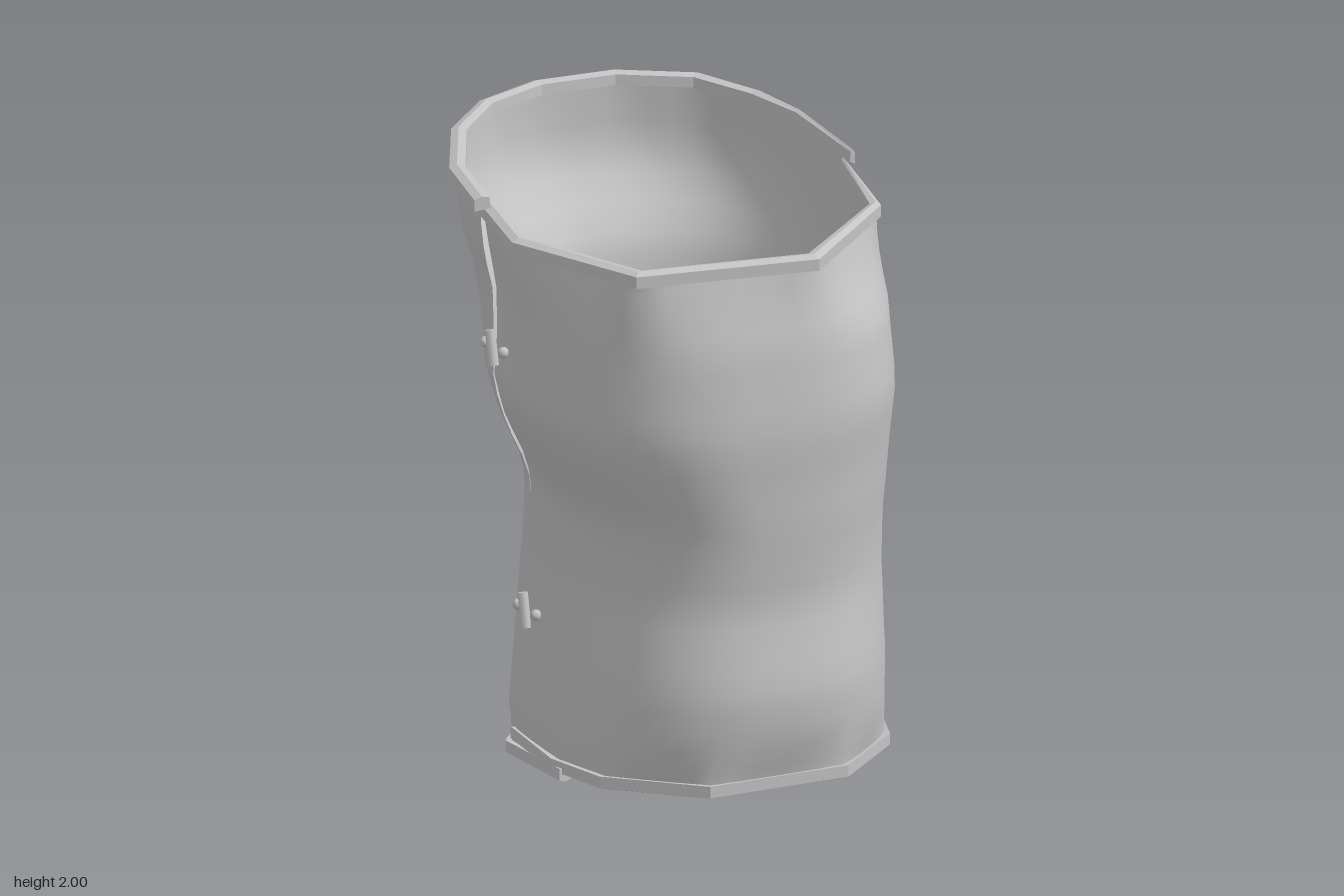
import * as THREE from 'three';

const { lerp, clamp } = THREE.MathUtils;
const ZC = 0.08; // z of the side seams

// Skin outline by height: y, xMin, xMax, zMin, zMax
const OUTLINE = [
  [0.0, -0.48, 0.605, -0.53, 0.83],
  [0.25, -0.48, 0.61, -0.56, 0.82],
  [0.55, -0.45, 0.61, -0.585, 0.86],
  [0.83, -0.43, 0.61, -0.59, 0.81],
  [1.0, -0.43, 0.61, -0.55, 0.825],
  [1.1, -0.44, 0.61, -0.575, 0.835],
  [1.25, -0.51, 0.61, -0.61, 0.845],
  [1.4, -0.555, 0.61, -0.625, 0.86],
  [1.5, -0.55, 0.61, -0.64, 0.855],
  [1.7, -0.55, 0.61, -0.82, 0.84],
  [2.0, -0.59, 0.61, -0.835, 0.83],
];

// Roundness of each quarter (1 = ellipse, less = boxier):
// y, front left, front right, back right, back left
const ROUNDNESS = [
  [0.1, 0.75, 0.8, 1.2, 0.85],
  [0.3, 0.78, 0.8, 1.2, 0.95],
  [0.6, 0.83, 0.82, 1.2, 0.98],
  [1.0, 0.83, 0.88, 1.25, 1.05],
  [1.45, 0.62, 0.8, 1.2, 0.85],
  [1.7, 0.72, 0.8, 1.05, 0.78],
  [1.95, 0.9, 0.82, 0.93, 0.7],
];

// Piecewise linear lookup in rows whose first entry is the key
function lookup(rows, key, col) {
  let i = 0;
  while (i < rows.length - 2 && rows[i + 1][0] < key) i++;
  const a = rows[i], b = rows[i + 1];
  return lerp(a[col], b[col], clamp((key - a[0]) / (b[0] - a[0]), 0, 1));
}

// Point of the limb-shaped skin at an angle (0 = +x, PI/2 = front) and height
function skin(phi, y, offset = 0) {
  const [x0, x1, z0, z1] = [1, 2, 3, 4].map((c) => lookup(OUTLINE, y, c));
  const c = Math.cos(phi), s = Math.sin(phi);
  const a = (x1 - x0) / 2 + offset;
  const b = (s > 0 ? z1 - ZC : ZC - z0) + offset;
  const quarter = s > 0 ? (c > 0 ? 1 : 2) : (c > 0 ? 4 : 3);
  const power = lookup(ROUNDNESS, y, quarter);
  const soft = (k) => Math.sign(k) * Math.abs(k) ** power;
  return new THREE.Vector3((x0 + x1) / 2 + a * soft(c), y, ZC + b * soft(s));
}

// The two overlapping plates: rim corner angles and rim height as a function of z
const PLATES = {
  front: {
    top: { phis: [-0.02, 0.45, 1.27, 2.13, 2.91, 3.3], y: 1.95, rise: [[-0.1, 1.945], [0.83, 1.98]] },
    bottom: { phis: [0.25, 0.6, 1.2, 1.85, 2.5, 2.85, 3.25], y: 0.22, rise: [[-0.1, 0.185], [0.36, 0.205], [0.83, 0.235]] },
    // tucks under the back plate, deepest at the top
    offset: (phi, y) => clamp((phi - 3.0) / 0.2, 0, 1) * lerp(-0.008, -0.045, clamp((y - 1.3) / 0.5, 0, 1)),
  },
  back: {
    top: { phis: [3.18, 3.5, 3.92, 4.25, 4.6, 4.88, 5.31, 5.68, 5.98, 6.29], y: 1.95, rise: [[-0.85, 1.985], [-0.55, 1.975], [0.08, 2.0]] },
    bottom: { phis: [2.78, 3.3, 3.88, 4.77, 5.4, 5.8, 6.2, 6.56], y: 0.1, rise: [[-0.55, 0.004], [-0.35, 0.025], [0, 0.135], [0.36, 0.19]] },
    offset: () => 0.004,
  },
};

function rimCorner(plate, edge, phi) {
  const p = skin(phi, edge.y, plate.offset(phi, edge.y));
  p.y = lookup(edge.rise, p.z, 1);
  return p;
}

// Point on the straight-sided rim line between its corners
function rimPoint(plate, edge, phi) {
  const f = edge.phis;
  let i = 0;
  while (i < f.length - 2 && f[i + 1] < phi) i++;
  const t = clamp((phi - f[i]) / (f[i + 1] - f[i]), 0, 1);
  return rimCorner(plate, edge, f[i]).lerp(rimCorner(plate, edge, f[i + 1]), t);
}

// Indexed surface through rows x columns of points
function grid(point, nu, nv) {
  const pos = [], index = [];
  for (let i = 0; i <= nu; i++)
    for (let j = 0; j <= nv; j++) pos.push(...point(i, j).toArray());
  for (let i = 0; i < nu; i++)
    for (let j = 0; j < nv; j++) {
      const a = i * (nv + 1) + j, b = a + nv + 1;
      index.push(a, a + 1, b, a + 1, b + 1, b);
    }
  const g = new THREE.BufferGeometry();
  g.setAttribute('position', new THREE.Float32BufferAttribute(pos, 3));
  g.setIndex(index);
  g.computeVertexNormals();
  return g;
}

// Curved wall running between the lower and upper rims
function wallGeometry(plate) {
  const nu = 28, nv = 26, { top, bottom } = plate;
  return grid((i, j) => {
    const v = j / nv, t = Math.max(0, 1 - v / 0.35);
    const start = lerp(top.phis[0], bottom.phis[0], t);
    const end = lerp(top.phis.at(-1), bottom.phis.at(-1), t);
    const phi = lerp(start, end, i / nu);
    const hi = rimPoint(plate, top, phi), lo = rimPoint(plate, bottom, phi);
    const y = lerp(lo.y + 0.02, hi.y - 0.02, v);
    const p = skin(phi, y, plate.offset(phi, y));
    const w = Math.max(0, (v - 0.85) / 0.15, (0.08 - v) / 0.08);
    const target = v > 0.5 ? hi : lo;
    p.x = lerp(p.x, target.x, w);
    p.z = lerp(p.z, target.z, w);
    return p;
  }, nu, nv);
}

// Chamfered lip swept along a rim, thinner on the +x side, closed at both ends
function rimGeometry(plate, edge, sign) {
  const section = [[-0.032, -0.04], [-0.03, -0.006], [-0.004, 0], [0.02, -0.01], [0.02, -0.048]];
  const n = edge.phis.length;
  return grid((i, j) => {
    const phi = edge.phis[clamp(i - 1, 0, n - 1)];
    const p = rimCorner(plate, edge, phi);
    const out = new THREE.Vector3(Math.cos(phi), 0, Math.sin(phi) * 0.85).normalize();
    const thin = 1 - 0.7 * Math.max(0, Math.cos(phi)) ** 8;
    const cap = i === 0 || i === n + 1;
    const [o, dy] = cap ? [0, -0.025] : section[j % section.length];
    p.addScaledVector(out, o * thin);
    p.y += dy * sign;
    return p;
  }, n + 1, section.length);
}

export function createModel() {
  const model = new THREE.Group();
  model.name = 'limbGuard';
  const grey = new THREE.MeshStandardMaterial({ color: 0xc4c4c4, side: THREE.DoubleSide });
  grey.name = 'plate grey';

  const add = (parent, name, geometry) => {
    const mesh = new THREE.Mesh(geometry, grey);
    mesh.name = name;
    parent.add(mesh);
    return mesh;
  };
  // Sharp edges for the lips
  const faceted = (g) => {
    const flat = g.toNonIndexed();
    flat.computeVertexNormals();
    return flat;
  };

  for (const [name, plate] of Object.entries(PLATES)) {
    const group = new THREE.Group();
    group.name = name + 'Plate';
    add(group, name + 'Wall', wallGeometry(plate));
    add(group, name + 'UpperRim', faceted(rimGeometry(plate, plate.top, 1)));
    add(group, name + 'LowerRim', faceted(rimGeometry(plate, plate.bottom, -1)));
    model.add(group);
  }

  // Clasps on the overlapping seam: a pin with a stud on each side
  for (const [x, y] of [[-0.567, 1.515], [-0.46, 0.635]]) {
    const clasp = new THREE.Group();
    clasp.name = 'clasp';
    clasp.position.set(x, y, 0.08);
    const pin = add(clasp, 'claspPin', new THREE.CylinderGeometry(0.017, 0.017, 0.11, 8));
    pin.rotation.x = -0.3;
    for (const side of [-1, 1]) {
      const stud = add(clasp, 'claspStud', new THREE.SphereGeometry(0.018, 8, 6));
      stud.position.set(0.008, side * 0.01, side * 0.075);
    }
    model.add(clasp);
  }
  return model;
}
